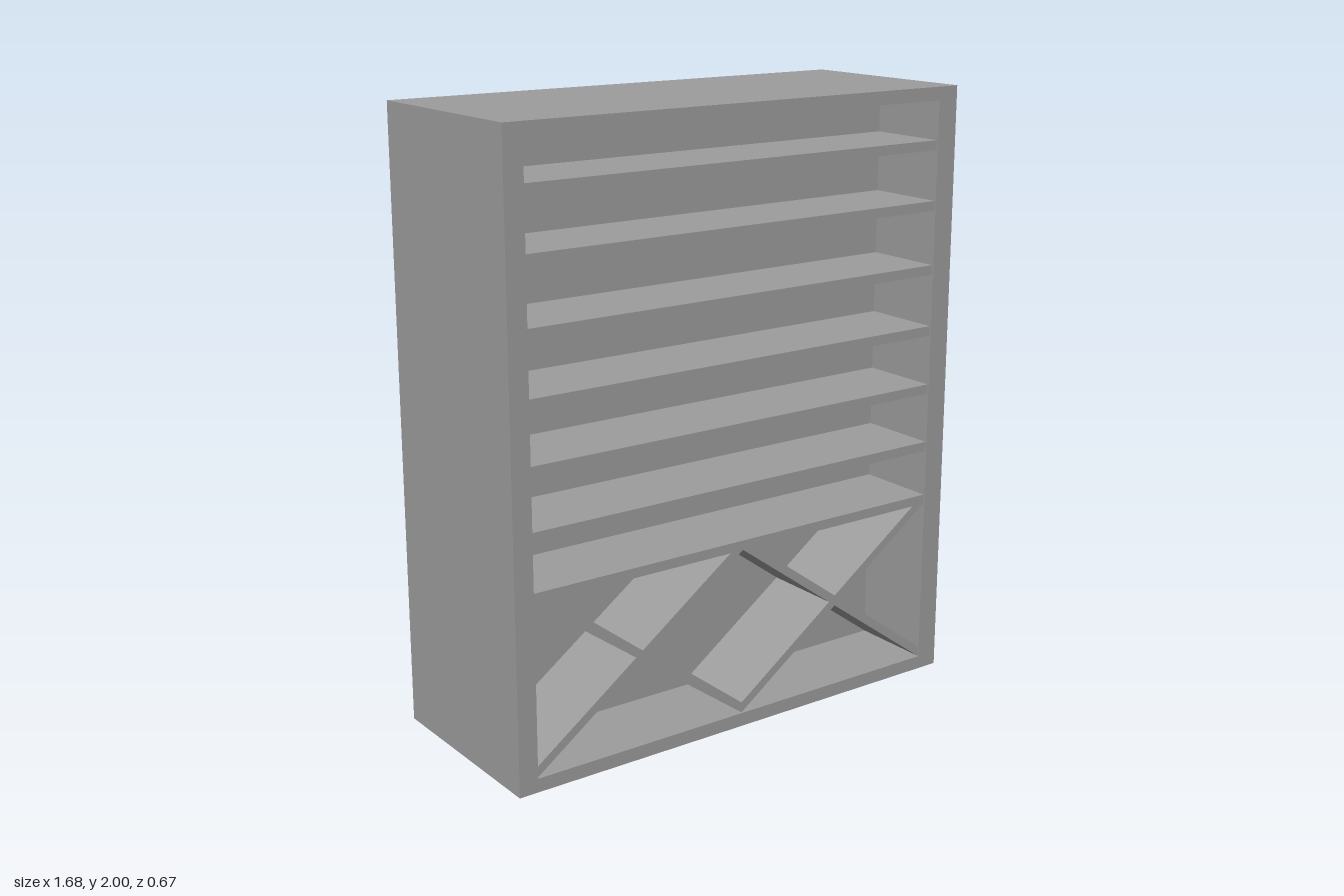
import * as THREE from 'three';

const material = new THREE.MeshStandardMaterial({ color: 0x9c9c9c, side: THREE.DoubleSide });

// Outer cabinet, and the recess that holds the shelves
const W = 0.84, H = 2, Z = 0.335;
const L = -0.775, R = 0.765, B = 0.045, T = 1.957, Zb = 0.054;
const midX = (L + R) / 2, midZ = (Z + Zb) / 2, depth = Z - Zb;
const inset = 0.005; // shelves and dividers sit just behind the frame

export function createModel() {
  const model = new THREE.Group();

  const add = (name, geometry, x = 0, y = 0, z = 0, parent = model) => {
    const mesh = new THREE.Mesh(geometry, material);
    mesh.name = name;
    mesh.position.set(x, y, z);
    parent.add(mesh);
    return mesh;
  };
  // Thin sheets facing z, x or y
  const sheetZ = (name, w, h, x, y, z) => add(name, new THREE.PlaneGeometry(w, h), x, y, z);
  const sheetX = (name, d, h, x, y, z) => add(name, new THREE.PlaneGeometry(d, h).rotateY(Math.PI / 2), x, y, z);
  const sheetY = (name, w, d, x, y, z) => add(name, new THREE.PlaneGeometry(w, d).rotateX(-Math.PI / 2), x, y, z);

  // Outer shell, open underneath
  sheetZ('backPanel', 2 * W, H, 0, H / 2, -Z).rotation.y = Math.PI;
  sheetY('topPanel', 2 * W, 2 * Z, 0, H, 0);
  sheetX('leftSide', 2 * Z, H, W, H / 2, 0);
  sheetX('rightSide', 2 * Z, H, -W, H / 2, 0).rotation.y = Math.PI;

  // Front frame with the opening cut out
  const rect = (x0, y0, x1, y1) => [[x0, y0], [x1, y0], [x1, y1], [x0, y1]].map(p => new THREE.Vector2(...p));
  const frame = new THREE.Shape(rect(-W, 0, W, H));
  frame.holes.push(new THREE.Path(rect(L, B, R, T)));
  add('frontFrame', new THREE.ShapeGeometry(frame), 0, 0, Z);

  // Recess lining
  sheetZ('recessBack', R - L, T - B, midX, (T + B) / 2, Zb);
  sheetX('recessRightWall', depth, T - B, L, (T + B) / 2, midZ);
  sheetX('recessLeftWall', depth, T - B, R, (T + B) / 2, midZ).rotation.y = Math.PI;
  sheetY('recessFloor', R - L, depth, midX, B, midZ);
  sheetY('recessCeiling', R - L, depth, midX, T, midZ).rotation.x = Math.PI;

  // Shelves
  const shelves = new THREE.Group();
  shelves.name = 'shelves';
  model.add(shelves);
  for (const y of [0.618, 0.805, 1.004, 1.203, 1.407, 1.618, 1.814]) {
    add('shelf', new THREE.BoxGeometry(R - L, 0.032, depth - inset), midX, y, midZ - inset / 2, shelves);
  }

  // Crossed dividers in the lower bay, their rear edges just through the recess back
  const half = (R - L) / 4, top = 0.603;
  const cross = new THREE.Shape([
    [half, B], [half, 0.08], [0.024, 0.3415], [half, top], [0.337, top], [0, 0.359],
    [-0.337, top], [-half, top], [-0.024, 0.3415], [-half, 0.08], [-half, B], [0, 0.324],
  ].map(p => new THREE.Vector2(...p)));
  for (const side of [-1, 1]) {
    add('crossDivider', new THREE.ExtrudeGeometry(cross, { depth, bevelEnabled: false }),
      midX + side * half, 0, Zb - inset);
  }

  return model;
}
